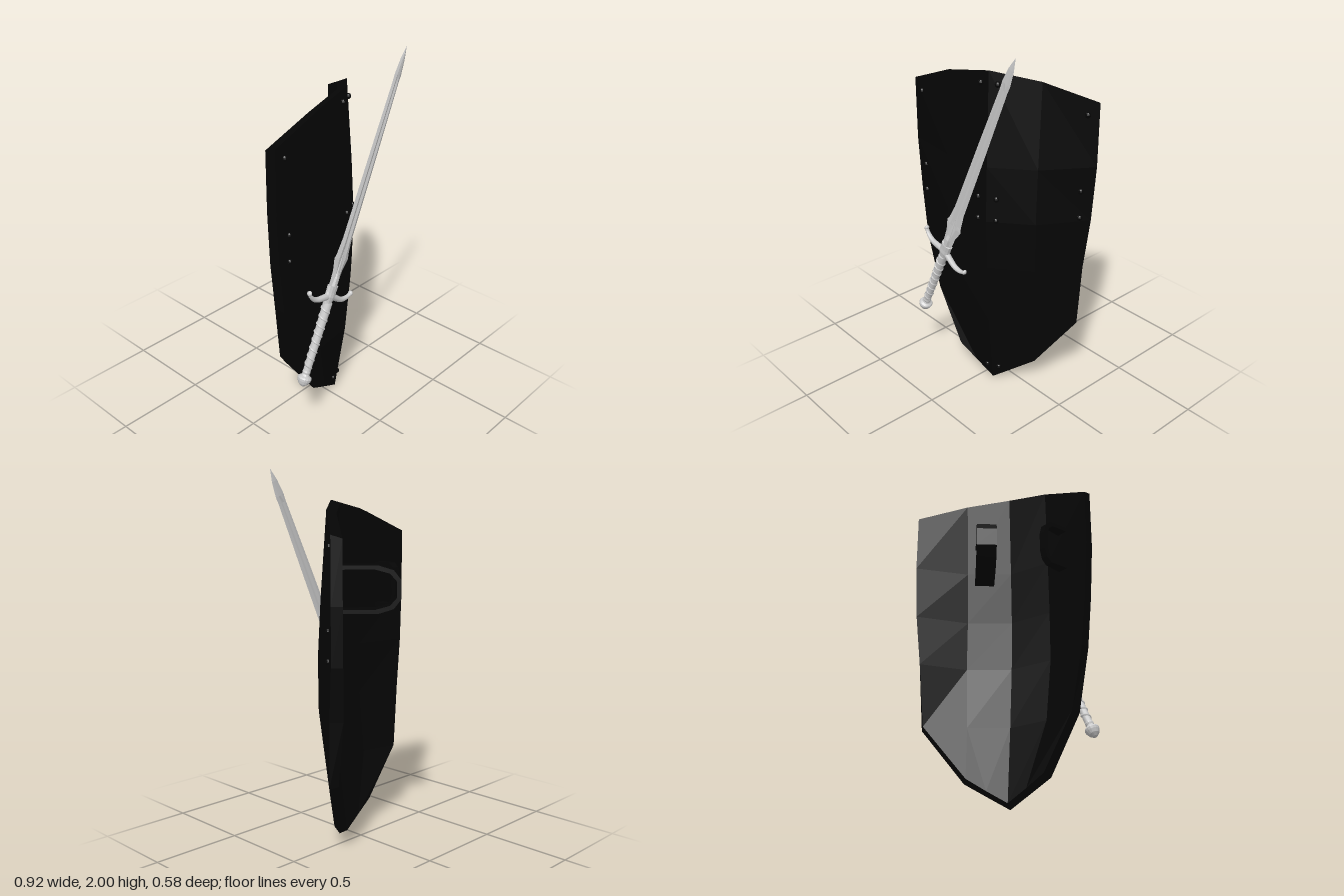
import * as THREE from 'three';

const dark = new THREE.MeshStandardMaterial({ color: 0x050505, flatShading: true });
const steelFlat = new THREE.MeshStandardMaterial({ color: 0xcccccc, flatShading: true });
const steel = new THREE.MeshStandardMaterial({ color: 0xcccccc });

function add(parent, name, geometry, material) {
  const mesh = new THREE.Mesh(geometry, material);
  mesh.name = name;
  parent.add(mesh);
  return mesh;
}

function indexed(points, index) {
  const g = new THREE.BufferGeometry().setFromPoints(points);
  g.setIndex(index);
  g.computeVertexNormals();
  return g;
}

// Skin a run of closed rings, all with the same number of points
function loft(rings) {
  const n = rings[0].length, index = [];
  for (let i = 0; i < rings.length - 1; i++) {
    for (let k = 0; k < n; k++) {
      const a = i * n + k, d = i * n + (k + 1) % n;
      index.push(a, a + n, d + n, a, d + n, d);
    }
  }
  return indexed(rings.flat(), index);
}

// One face of the shield: five columns; the right edge mirrors the left unless given
const shieldFace = rows => rows.flatMap(([ye, ym, yc, xl, zl, xm, zm, zc, xr = xl, zr = zl]) => [
  new THREE.Vector3(-xl, ye, zl), new THREE.Vector3(-xm, ym, zm), new THREE.Vector3(0, yc, zc),
  new THREE.Vector3(xm, ym, zm), new THREE.Vector3(xr, ye, zr),
]);

// Curved shield panel with a slanted rim
function shieldPanel() {
  // y at edge, mid, ridge | edge x, z | mid x, z | ridge z | other edge x, z
  const front = shieldFace([
    [1.69, 1.8, 1.847, 0.507, 0.028, 0.25, 0.148, 0.22],
    [1.35, 1.35, 1.35, 0.507, 0.028, 0.25, 0.183, 0.25],
    [1.05, 1.05, 1.05, 0.488, 0.033, 0.25, 0.2, 0.265, 0.492, 0.035],
    [0.77, 0.77, 0.77, 0.46, 0.043, 0.25, 0.198, 0.26, 0.466, 0.055],
    [0.42, 0.42, 0.42, 0.407, 0.022, 0.23, 0.16, 0.235, 0.45, 0.064],
    [0.135, 0.067, 0, 0.23, 0.122, 0.115, 0.15, 0.179],
  ]);
  const back = shieldFace([
    [1.672, 1.782, 1.827, 0.488, -0.026, 0.235, 0.1, 0.17],
    [1.35, 1.35, 1.35, 0.488, -0.026, 0.235, 0.13, 0.2],
    [1.05, 1.05, 1.05, 0.47, -0.024, 0.235, 0.145, 0.215, 0.474, -0.022],
    [0.77, 0.77, 0.77, 0.44, -0.016, 0.235, 0.143, 0.21, 0.447, -0.012],
    [0.43, 0.43, 0.43, 0.38, -0.018, 0.215, 0.11, 0.18, 0.428, 0.022],
    [0.15, 0.087, 0.025, 0.205, 0.074, 0.105, 0.105, 0.134],
  ]);
  const N = front.length, R = N / 5, index = [];
  for (let r = 0; r < R - 1; r++) {
    for (let c = 0; c < 4; c++) {
      const a = r * 5 + c, b = a + 5;
      index.push(a, b, b + 1, a, b + 1, a + 1);
      index.push(N + a, N + b + 1, N + b, N + a, N + a + 1, N + b + 1);
    }
  }
  // Rim wall between front and back
  const loop = [];
  for (let r = 0; r < R; r++) loop.push(r * 5);
  for (let c = 1; c < 5; c++) loop.push((R - 1) * 5 + c);
  for (let r = R - 2; r >= 0; r--) loop.push(r * 5 + 4);
  for (let c = 3; c > 0; c--) loop.push(c);
  loop.forEach((p, i) => {
    const q = loop[(i + 1) % loop.length];
    index.push(p, N + p, N + q, p, N + q, q);
  });
  return indexed([...front, ...back], index);
}

// C-shaped strap standing off the back of the shield; taper narrows its outer end
function strap(parent, name, [x, y, z], angle, reach, width, taper) {
  const outline = (r, h) => [[-0.04, -h], [r * 0.6, -h], [r * 0.87, -h * 0.8], [r, -h * 0.4],
    [r, h * 0.4], [r * 0.87, h * 0.8], [r * 0.6, h], [-0.04, h]];
  const points = [...outline(reach, 0.125), ...outline(reach - 0.022, 0.103).reverse()];
  const shape = new THREE.Shape(points.map(p => new THREE.Vector2(...p)));
  const g = new THREE.ExtrudeGeometry(shape, { depth: width, bevelEnabled: false });
  g.translate(0, 0, -width / 2);
  const pos = g.attributes.position;
  for (let i = 0; i < pos.count; i++) pos.setZ(i, pos.getZ(i) * (1 - taper * pos.getX(i) / reach));
  const mesh = add(parent, name, g, dark);
  mesh.position.set(x, y, z);
  mesh.rotation.y = angle;
}

function buildShield() {
  const shield = new THREE.Group();
  shield.name = 'shield';
  const body = new THREE.Group();
  body.name = 'shieldBody';
  body.position.set(-0.01, 0, -0.06);
  body.rotation.y = 0.436;
  shield.add(body);
  add(body, 'shieldPanel', shieldPanel(), dark);

  // Rivets, in mirrored pairs
  const rivetGeometry = new THREE.SphereGeometry(0.016, 8, 6);
  const rivets = [[0.455, 1.63, 0.055], [0.44, 1.22, 0.067], [0.44, 1.07, 0.068],
    [0.045, 1.78, 0.214], [0.05, 1.18, 0.246], [0.05, 1.06, 0.251], [0.035, 0.08, 0.178]];
  for (const [x, y, z] of rivets) {
    for (const side of [-1, 1]) add(body, 'rivet', rivetGeometry, dark).position.set(side * x, y, z);
  }
  strap(shield, 'armStrap', [0.15, 1.395, -0.015], 2.36, 0.3, 0.108, 0);
  strap(shield, 'handStrap', [-0.284, 1.38, 0.1], 1.46, 0.115, 0.056, 0.36);
  return shield;
}

// Fullered blade section: half width w, half thickness t, groove depth factor g
function bladeRing([y, w, t, g]) {
  const half = [[w, 0], [w * 0.45, t], [0, t * g], [-w * 0.45, t]];
  return [...half, ...half.map(([x, z]) => [-x, -z])].map(([x, z]) => new THREE.Vector3(x, y, z));
}

function buildSword() {
  const sword = new THREE.Group();
  sword.name = 'sword';
  sword.position.set(-0.355, 0.36, 0.255);
  sword.rotation.z = -0.429;

  // Blade with a flared base and leaf-shaped tip
  add(sword, 'blade', loft([
    [0.47, 0.034, 0.009, 0.8], [0.55, 0.035, 0.009, 0.7], [0.62, 0.04, 0.009, 0.6],
    [0.685, 0.059, 0.008, 0.5], [0.71, 0.05, 0.008, 0.4], [0.8, 0.039, 0.008, 0.3],
    [1.25, 0.033, 0.007, 0.3], [1.62, 0.026, 0.006, 0.3], [1.66, 0.028, 0.006, 1.1],
    [1.74, 0.018, 0.005, 1.2], [1.805, 0.0005, 0.0005, 1],
  ].map(bladeRing)), steelFlat);

  // Slender spike reinforcing the blade base
  add(sword, 'langet', loft([
    [0.48, 0.028, 0.019, 1.1], [0.58, 0.024, 0.018, 1.1], [0.61, 0.02, 0.011, 1.1], [0.74, 0.001, 0.004, 1],
  ].map(bladeRing)), steelFlat);

  // Collar where blade, guard and grip meet
  const collar = add(sword, 'collar', new THREE.LatheGeometry(
    [[0, 0.43], [0.026, 0.43], [0.03, 0.45], [0.037, 0.475], [0.035, 0.5], [0.037, 0.535], [0, 0.535]]
      .map(p => new THREE.Vector2(...p)), 12), steelFlat);
  collar.scale.z = 0.62;

  // Crossguard: arms dip, then sweep up to small knobs
  const path = new THREE.CatmullRomCurve3([[-0.178, 0.495], [-0.155, 0.472], [-0.105, 0.456], [0, 0.475],
    [0.105, 0.456], [0.155, 0.472], [0.178, 0.495]].map(([x, y]) => new THREE.Vector3(x, y, 0)));
  const rings = [];
  for (let i = 0; i <= 28; i++) {
    const p = path.getPoint(i / 28), t = path.getTangent(i / 28);
    const r = 0.007 + 0.013 * (1 - Math.abs(i / 14 - 1)) ** 1.3;
    rings.push(Array.from({ length: 8 }, (_, k) => {
      const a = k / 8 * Math.PI * 2, s = Math.sin(a) * r;
      return new THREE.Vector3(p.x - t.y * s, p.y + t.x * s, Math.cos(a) * (0.008 + r * 0.5));
    }));
  }
  add(sword, 'crossguard', loft(rings), steel);
  for (const side of [-1, 1]) {
    const knob = add(sword, 'guardKnob', new THREE.SphereGeometry(0.011, 10, 8), steel);
    knob.position.set(side * 0.175, 0.491, 0);
    knob.scale.set(1, 1.3, 1.35);
  }

  // Grip core with a shallow spiral wrap
  add(sword, 'grip', new THREE.CylinderGeometry(0.0255, 0.0205, 0.4, 14).translate(0, 0.24, 0), steel);
  const spiral = new THREE.CatmullRomCurve3(Array.from({ length: 121 }, (_, i) => {
    const f = i / 120, a = f * Math.PI * 2 * 8, r = 0.0175 + 0.005 * f;
    return new THREE.Vector3(Math.cos(a) * r, 0.065 + f * 0.36, Math.sin(a) * r);
  }));
  add(sword, 'gripWrap', new THREE.TubeGeometry(spiral, 180, 0.0075, 6), steel);

  // Pommel
  add(sword, 'pommel', new THREE.LatheGeometry(
    [[0, -0.038], [0.012, -0.034], [0.027, -0.02], [0.036, -0.002], [0.039, 0.01], [0.036, 0.018], [0.024, 0.026],
      [0.02, 0.035], [0.023, 0.045], [0.021, 0.055], [0, 0.055]].map(p => new THREE.Vector2(...p)), 16), steelFlat);
  return sword;
}

export function createModel() {
  const model = new THREE.Group();
  model.name = 'swordAndShield';
  model.add(buildShield(), buildSword());
  return model;
}
